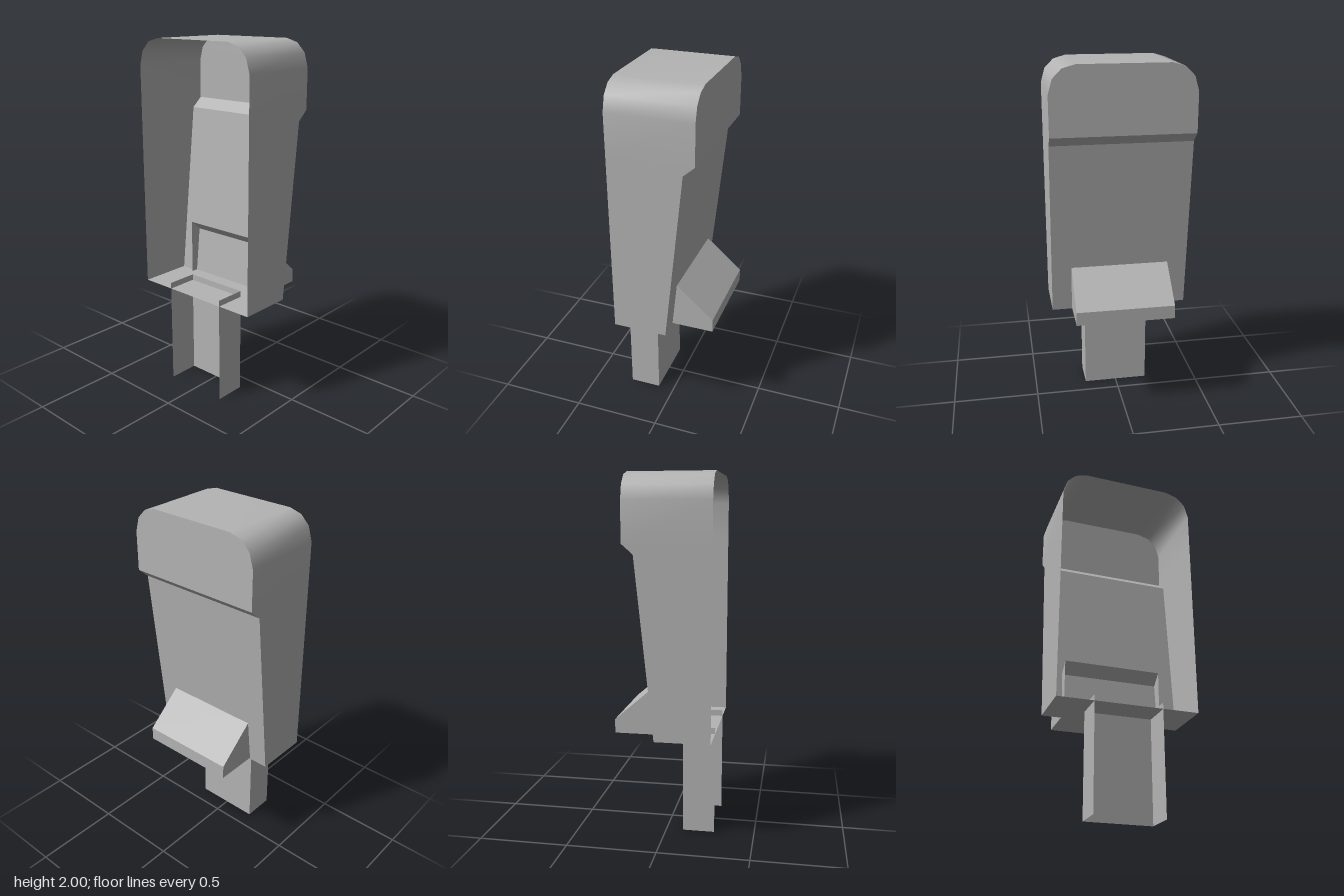
import * as THREE from 'three';

// Sheet stretched between two matching point lists, smooth or with hard folds
function ribbon(a, b, smooth = false) {
  const pos = [], index = [];
  a.forEach((p, i) => {
    pos.push(...p, ...b[i]);
    if (i) {
      const k = 2 * i;
      index.push(k - 2, k - 1, k + 1, k - 2, k + 1, k);
    }
  });
  let g = new THREE.BufferGeometry();
  g.setAttribute('position', new THREE.Float32BufferAttribute(pos, 3));
  g.setIndex(index);
  if (!smooth) g = g.toNonIndexed();
  g.computeVertexNormals();
  return g;
}

// Side profile (x, y) swept flat across the depth
const sweep = (profile, z) =>
  ribbon(profile.map(([x, y]) => [x, y, z]), profile.map(([x, y]) => [x, y, -z]));

const flat = (pts) => new THREE.ShapeGeometry(new THREE.Shape(pts.map(([x, y]) => new THREE.Vector2(x, y))));

export function createModel() {
  const model = new THREE.Group();
  model.name = 'hollowHousing';
  const grey = new THREE.MeshStandardMaterial({ color: 0xb4b4b4, side: THREE.DoubleSide });
  grey.name = 'plain grey';
  const add = (name, geometry, parent = model) => {
    const mesh = new THREE.Mesh(geometry, grey);
    mesh.name = name;
    parent.add(mesh);
    return mesh;
  };

  const back = -0.275, W = 0.393;

  // Thin outer wall with rounded top corners: [z, y, front x]
  const half = [
    [W, 0.58, 0.033], [W, 1.575, 0.137], [W, 1.63, 0.2], [W, 1.85, 0.2],
    [0.37, 1.93, 0.2], [0.32, 1.98, 0.2], [0.25, 2, 0.2],
  ];
  const outline = [...half, ...half.map(([z, y, x]) => [-z, y, x]).reverse()];
  add('outerWall', ribbon(
    outline.map(([z, y]) => [back, y, z]),
    outline.map(([z, y, x]) => [x, y, z]), true));

  // Floor, sloping face and the small overhang under the head
  add('floorAndFace', sweep([[back, 0.58], [0.033, 0.58], [0.137, 1.575], [0.2, 1.63]], W));

  // Upright head plate
  const head = outline.filter(([, y]) => y >= 1.63).map(([z, y]) => [-z, y]);
  add('headPlate', flat(head).rotateY(Math.PI / 2).translate(0.2, 0, 0));

  // Wedge spout passing through the face, open on its inner side
  const spout = new THREE.Group();
  spout.name = 'spout';
  model.add(spout);
  const wedge = [[-0.005, 0.587], [0.273, 0.587], [0.273, 0.665], [-0.005, 0.906]];
  add('spoutShell', sweep(wedge, 0.28), spout);
  add('spoutCheekFront', flat(wedge).translate(0, 0, 0.28), spout);
  add('spoutCheekBack', flat(wedge.map(([x, y]) => [-x, y])).rotateY(Math.PI).translate(0, 0, -0.28), spout);

  // Channel-shaped post, open at the back and both ends
  const plan = [[back, 0.19], [-0.095, 0.19], [-0.095, -0.19], [back, -0.19]];
  add('post', ribbon(plan.map(([x, z]) => [x, 0.615, z]), plan.map(([x, z]) => [x, 0, z])));

  return model;
}
